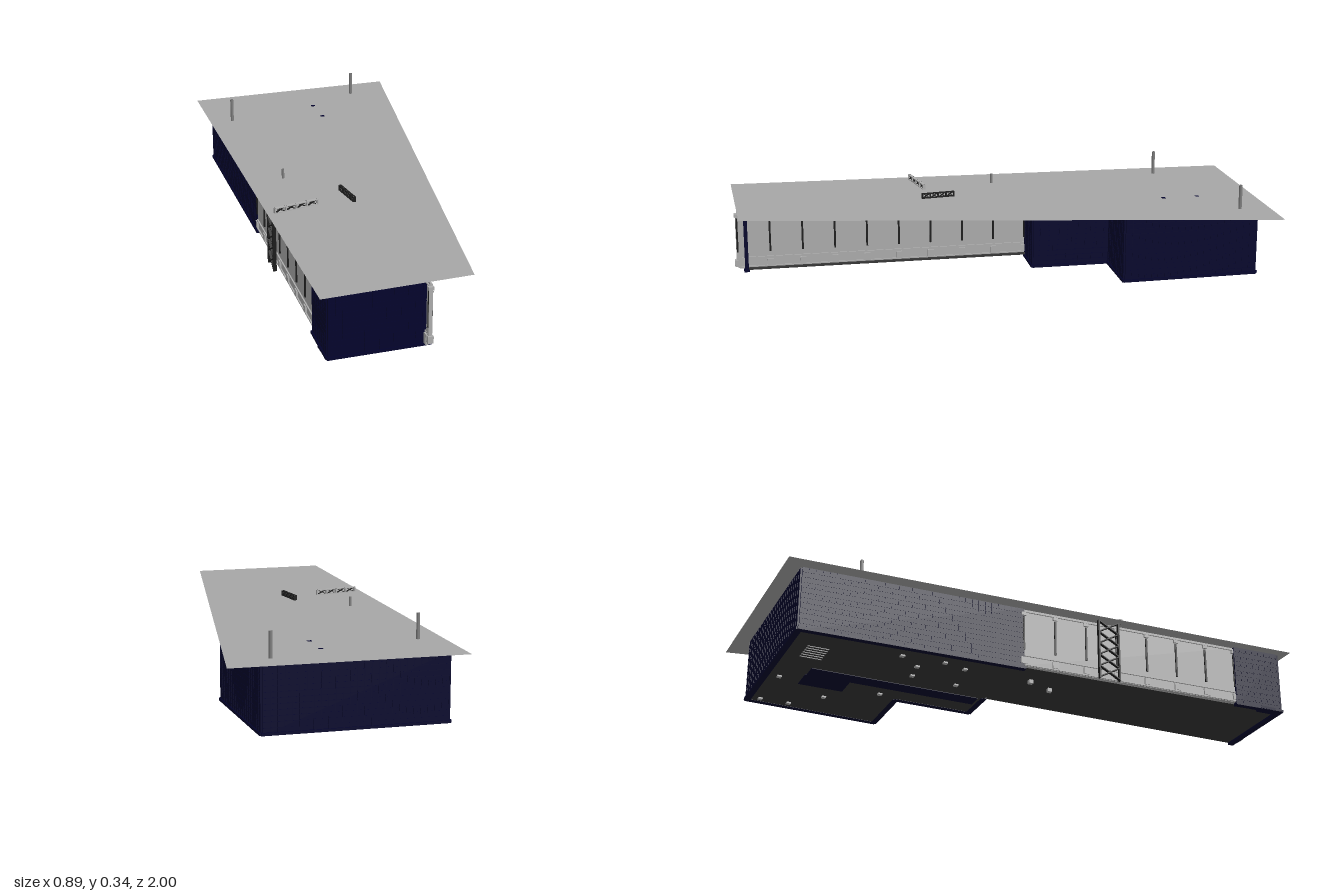
import * as THREE from 'three';

const mat = (name, color, side = THREE.FrontSide) => {
  const m = new THREE.MeshStandardMaterial({ color, side });
  m.name = name;
  return m;
};

export function createModel() {
  const roofGrey = mat('roof grey', 0xa6a6a6, THREE.DoubleSide);
  const panelGrey = mat('panel grey', 0xaeaeae);
  const navy = mat('navy cladding', 0x02022c);
  const floorGrey = mat('dark floor', 0x363636);
  const metal = mat('metal grey', 0x808080, THREE.DoubleSide);
  const black = mat('black steel', 0x1c1c1c);

  const model = new THREE.Group();
  model.name = 'building';

  const box = (name, m, w, h, d, x, y, z, parent = model) => {
    const mesh = new THREE.Mesh(new THREE.BoxGeometry(w, h, d), m);
    mesh.name = name;
    mesh.position.set(x, y, z);
    parent.add(mesh);
    return mesh;
  };

  // Flat plate from a plan outline of [x, z] points; no thickness gives a single face
  const slab = (name, m, pts, y0, thickness) => {
    const shape = new THREE.Shape(pts.map(([x, z]) => new THREE.Vector2(x, -z)));
    const geo = thickness
      ? new THREE.ExtrudeGeometry(shape, { depth: thickness, bevelEnabled: false })
      : new THREE.ShapeGeometry(shape);
    geo.rotateX(-Math.PI / 2);
    const mesh = new THREE.Mesh(geo, m);
    mesh.name = name;
    mesh.position.y = y0;
    model.add(mesh);
  };

  // Group whose local x axis runs along a plan line, centred on it
  const along = (name, [x0, z0], [x1, z1]) => {
    const g = new THREE.Group();
    g.name = name;
    g.position.set((x0 + x1) / 2, 0, (z0 + z1) / 2);
    g.rotation.y = -Math.atan2(z1 - z0, x1 - x0);
    g.userData.length = Math.hypot(x1 - x0, z1 - z0);
    model.add(g);
    return g;
  };

  // Navy wall with a fine grid of raised battens and a base trim
  const claddingWall = (name, a, b) => {
    const g = along(name, a, b), L = g.userData.length;
    box('wallCore', navy, L, 0.242, 0.012, 0, 0.127, 0, g);
    box('baseTrim', navy, L + 0.012, 0.01, 0.022, 0, 0.01, 0, g);
    for (let i = 1; i < 12; i++) box('rail', navy, L, 0.002, 0.014, 0, 0.01 + i * 0.02, 0, g);
    const n = Math.max(2, Math.round(L / 0.025));
    for (let i = 0; i <= n; i++) box('batten', navy, 0.002, 0.24, 0.014, -L / 2 + (L * i) / n, 0.127, 0, g);
  };

  // Light panel wall with rails, mullions and brackets
  const panelWall = (name, a, b) => {
    const g = along(name, a, b), L = g.userData.length;
    box('panel', panelGrey, L, 0.227, 0.006, 0, 0.1335, 0, g);
    for (const y of [0.024, 0.06, 0.238]) box('rail', panelGrey, L, 0.005, 0.016, 0, y, 0, g);
    const n = Math.round(L / 0.125);
    for (let i = 0; i <= n; i++) {
      const x = -L / 2 + (L * i) / n;
      box('mullion', black, 0.007, 0.135, 0.016, x, 0.15, 0, g);
      box('footBracket', panelGrey, 0.024, 0.026, 0.02, x, 0.04, 0, g);
      box('headBracket', panelGrey, 0.018, 0.012, 0.02, x, 0.228, 0, g);
    }
  };

  // Lattice beam: two chords, zigzag diagonals and end posts
  const truss = (name, a, b, bays, chordMat) => {
    const height = 0.02, depth = 0.012;
    const g = along(name, a, b), L = g.userData.length;
    g.position.y = 0.25;
    for (const y of [0.0015, height - 0.0015]) box('chord', chordMat, L, 0.003, depth, 0, y, 0, g);
    const w = L / bays, len = Math.hypot(w, height) * 0.95;
    for (let i = 0; i < bays; i++) {
      const x = -L / 2 + w * (i + 0.5);
      for (const s of [-1, 1]) {
        box('diagonal', black, len, 0.002, depth * 0.7, x, height / 2, 0, g).rotation.z = s * Math.atan2(height, w);
      }
    }
    for (let i = 0; i <= bays; i++) box('post', chordMat, 0.004, height, depth, -L / 2 + i * w, height / 2, 0, g);
  };

  // Roof plate
  slab('roof', roofGrey, [[-0.45, 1], [0.09, 0.985], [0.445, -1], [-0.39, -1]], 0.25, 0);

  // Floors
  slab('blockFloor', floorGrey,
    [[-0.36, -0.125], [0.085, -0.125], [0.085, -0.426], [0.325, -0.426], [0.312, -0.935], [-0.335, -0.935]], 0.006, 0.008);
  slab('hallFloor', floorGrey, [[-0.395, 0.95], [-0.05, 0.95], [-0.05, -0.125], [-0.36, -0.125]], 0.014, 0.008);
  // Front plinth under the return wall
  box('frontPlinth', navy, 0.04, 0.01, 0.09, -0.4, 0.011, 0.915);
  // Painted areas under the block floor
  box('floorStrip', navy, 0.06, 0.002, 0.65, -0.03, 0.005, -0.475);
  box('floorStripHead', navy, 0.09, 0.002, 0.17, 0.045, 0.005, -0.72);

  // Rear block walls
  const block = [[-0.361, -0.1], [-0.335, -0.935], [0.312, -0.935], [0.325, -0.426], [0.085, -0.426], [0.085, -0.128], [-0.06, -0.128]];
  for (let i = 0; i < block.length - 1; i++) claddingWall('blockWall', block[i], block[i + 1]);

  // Hall walls
  claddingWall('frontWall', [-0.412, 0.958], [-0.057, 0.958]);
  claddingWall('frontReturnWall', [-0.41, 0.955], [-0.402, 0.77]);
  panelWall('rightPanelWall', [-0.067, 0.99], [-0.067, -0.12]);
  panelWall('leftPanelWall', [-0.395, 0.77], [-0.361, -0.1]);
  box('cornerPost', panelGrey, 0.014, 0.18, 0.02, -0.067, 0.14, 0.985);
  box('cornerPostFoot', panelGrey, 0.01, 0.04, 0.02, -0.074, 0.035, 0.975);

  // Upright lattice frame beside the left wall
  const tower = along('latticeFrame', [-0.398, 0.19], [-0.401, 0.27]);
  for (const x of [-0.04, 0.04]) box('upright', black, 0.006, 0.235, 0.014, x, 0.13, 0, tower);
  for (let i = 0; i < 5; i++) {
    for (const s of [-1, 1]) box('brace', black, 0.09, 0.004, 0.012, 0, 0.04 + i * 0.046, 0, tower).rotation.z = s * 0.52;
  }

  // Roof trusses
  truss('roofTrussLeft', [-0.4, 0.285], [-0.23, 0.25], 4, panelGrey);
  truss('roofTrussRight', [-0.11, 0.15], [-0.095, 0.275], 4, black);

  // Open roof pipes: x, z, top, radius
  for (const [x, z, top, r] of [[-0.307, -0.71, 0.342, 0.0065], [0.27, -0.885, 0.342, 0.0065], [-0.28, -0.03, 0.287, 0.005]]) {
    const pipe = new THREE.Mesh(new THREE.CylinderGeometry(r, r, top - 0.25, 12, 1, true), metal);
    pipe.name = 'roofPipe';
    pipe.position.set(x, (top + 0.25) / 2, z);
    model.add(pipe);
  }
  // Roof hatches
  for (const z of [-0.78, -0.645]) box('roofHatch', navy, 0.016, 0.001, 0.014, 0.067, 0.2505, z);

  // Feet and vents under the floor
  const feet = [[0.272, -0.786], [0.165, -0.682], [0.274, -0.895], [0.053, -0.5], [-0.138, -0.272], [-0.149, -0.448],
    [-0.278, -0.294], [-0.229, -0.46], [-0.3, -0.38], [-0.292, -0.54], [0.054, -0.887], [-0.27, -0.03], [-0.23, 0.065]];
  for (const [x, z] of feet) box('foot', panelGrey, 0.016, 0.016, 0.016, x, 0.008, z);
  for (let i = 0; i < 6; i++) box('ventSlat', panelGrey, 0.004, 0.002, 0.08, -0.14 - i * 0.018, 0.005, -0.83);

  return model;
}
